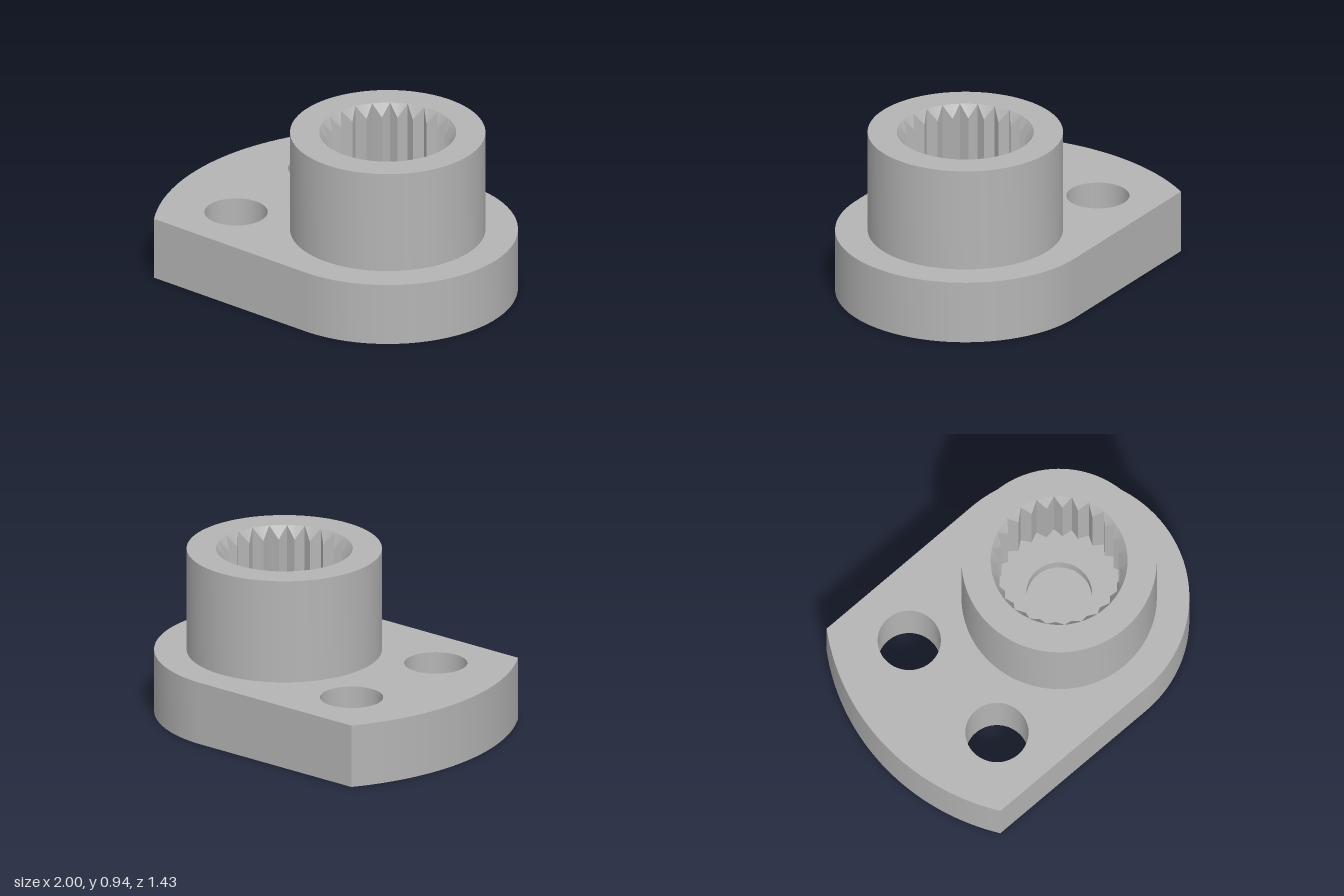
import * as THREE from 'three';
import { toCreasedNormals } from 'three/addons/utils/BufferGeometryUtils.js';

const CX = 0.286;        // axis of the hub
const BASE_H = 0.357, TOP = 0.945;
const FLOOR = 0.42, PIT = 0.34, CEILING = 0.265;
const ROOT_R = 0.375, TIP_R = 0.333, CHAMFER = 0.07, TEETH = 24;

function circleHole(x, y, r) {
  return new THREE.Path().absarc(x, y, r, 0, Math.PI * 2, true);
}

// Flange: half-round end around the hub, straight sides, shallow arc at the far end
function flangeGeometry() {
  const w = 0.713, R = 1.286;
  const a = Math.asin(w / R);
  const s = new THREE.Shape();
  s.absarc(CX, 0, w, -Math.PI / 2, Math.PI / 2, false);
  s.absarc(CX, 0, R, Math.PI - a, Math.PI + a, false);
  s.closePath();
  s.holes.push(circleHole(CX, 0, 0.367));
  for (const z of [-0.36, 0.36]) s.holes.push(circleHole(-0.493, z, 0.173));
  const g = new THREE.ExtrudeGeometry(s, { depth: BASE_H, bevelEnabled: false, curveSegments: 48 });
  g.rotateX(-Math.PI / 2);
  return toCreasedNormals(g, 0.5);
}

function lathe(points) {
  const g = new THREE.LatheGeometry(points.map(([r, y]) => new THREE.Vector2(r, y)), 96);
  return toCreasedNormals(g, 0.5);
}

// Internal splines: pointed teeth with a lead-in chamfer at the top
function splineGeometry() {
  const pos = [];
  const at = (r, a, y) => [r * Math.cos(a), y, -r * Math.sin(a)];
  const tri = (a, b, c) => pos.push(...a, ...b, ...c);
  const step = (Math.PI * 2) / TEETH, sub = 4;
  for (let i = 0; i < TEETH; i++) {
    const mid = Math.PI / 2 + i * step;
    const a0 = mid - step / 2, a1 = mid + step / 2;
    const tipLow = at(TIP_R, mid, FLOOR), tipTop = at(TIP_R, mid, TOP - CHAMFER);
    const r0 = at(ROOT_R, a0, FLOOR), r0Top = at(ROOT_R, a0, TOP);
    const r1 = at(ROOT_R, a1, FLOOR), r1Top = at(ROOT_R, a1, TOP);
    // flanks
    tri(r0, tipLow, tipTop); tri(r0, tipTop, r0Top);
    tri(tipLow, r1, r1Top); tri(tipLow, r1Top, tipTop);
    // chamfer fan
    for (let k = 0; k < sub; k++) {
      tri(tipTop, at(ROOT_R, a0 + (step * (k + 1)) / sub, TOP), at(ROOT_R, a0 + (step * k) / sub, TOP));
    }
  }
  // wind every face towards the axis
  const v = (i) => new THREE.Vector3(pos[i], pos[i + 1], pos[i + 2]);
  for (let i = 0; i < pos.length; i += 9) {
    const a = v(i), b = v(i + 3), c = v(i + 6);
    const n = b.clone().sub(a).cross(c.clone().sub(a));
    const m = a.clone().add(b).add(c).setY(0);
    if (n.dot(m) > 0) for (let k = 0; k < 3; k++) {
      [pos[i + 3 + k], pos[i + 6 + k]] = [pos[i + 6 + k], pos[i + 3 + k]];
    }
  }
  const g = new THREE.BufferGeometry();
  g.setAttribute('position', new THREE.Float32BufferAttribute(pos, 3));
  g.computeVertexNormals();
  return g;
}

export function createModel() {
  const group = new THREE.Group();
  group.name = 'splinedHubFlange';
  const grey = new THREE.MeshStandardMaterial({ color: 0xb4b4b4 });
  grey.name = 'grey';

  const add = (name, geometry, x = CX) => {
    const mesh = new THREE.Mesh(geometry, grey);
    mesh.name = name;
    mesh.position.x = x;
    group.add(mesh);
  };

  add('flange', flangeGeometry(), 0);
  add('hubWall', lathe([[0.535, BASE_H], [0.535, TOP], [ROOT_R, TOP]]));
  add('boreSplines', splineGeometry());
  add('boreFloor', lathe([[ROOT_R, FLOOR], [0.18, FLOOR], [0.18, PIT], [0, PIT]]));
  add('recessCeiling', lathe([[0, CEILING], [0.367, CEILING]]));
  return group;
}
